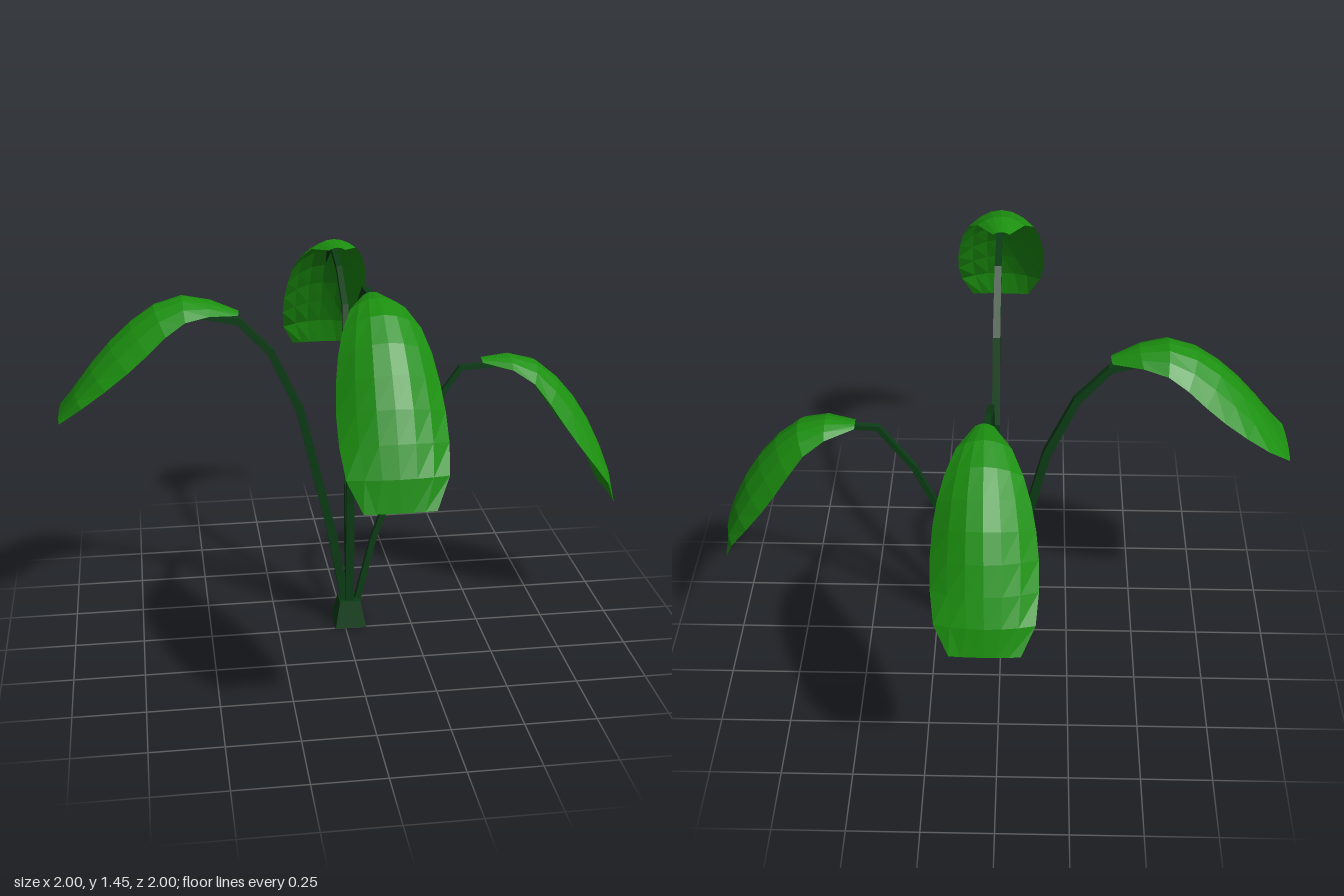
import * as THREE from 'three';

const V = (x, y, z) => new THREE.Vector3(x, y, z);
const leafMat = new THREE.MeshStandardMaterial({ color: 0x1c9010, flatShading: true, side: THREE.DoubleSide });
const stemMat = new THREE.MeshStandardMaterial({ color: 0x0c3d16, flatShading: true, side: THREE.DoubleSide });

// Stitches equal-length rows of points into a surface
function skin(rows) {
  const n = rows[0].length, index = [];
  for (let i = 0; i < rows.length - 1; i++) {
    for (let j = 0; j < n - 1; j++) {
      const a = i * n + j, b = a + n;
      index.push(a, a + 1, b, a + 1, b + 1, b);
    }
  }
  const geo = new THREE.BufferGeometry().setFromPoints(rows.flat());
  geo.setIndex(index);
  geo.computeVertexNormals();
  return geo;
}

// Half width and edge droop from the root of a leaf to its tip
const WIDTH = [0.03, 0.085, 0.12, 0.143, 0.157, 0.165, 0.165, 0.155, 0.11];
const DROOP = [0.01, 0.035, 0.06, 0.08, 0.09, 0.085, 0.065, 0.035, 0.005];

// Arched blade: spine points are [outward distance, height]; side0/side1 shift it sideways
function leaf({ axis, sign, spine, side0, side1 }) {
  const curve = new THREE.CatmullRomCurve3(spine.map(([r, y]) => V(r, y, 0)));
  const rows = WIDTH.map((w, i) => {
    const t = i / (WIDTH.length - 1);
    const p = curve.getPointAt(t), d = curve.getTangentAt(t);
    const row = [];
    for (let j = -3; j <= 3; j++) {
      const s = j / 3, drop = DROOP[i] * s * s;
      const r = sign * (p.x + d.y * drop), y = p.y - d.x * drop;
      const side = THREE.MathUtils.lerp(side0, side1, t) + w * s;
      row.push(axis === 'x' ? V(r, y, side) : V(side, y, r));
    }
    // keep every blade facing upward
    return (axis === 'x') === (sign > 0) ? row.reverse() : row;
  });
  return new THREE.Mesh(skin(rows), leafMat);
}

// Four-sided tapering stalk along a bent path, closed at its end
function stalk({ axis, sign, side1, path, thick }) {
  const across = axis === 'x' ? V(0, 0, 1) : V(1, 0, 0);
  const start = axis === 'x' ? -0.05 : 0.02;
  const pts = path.map(([r, y], i) => {
    const side = THREE.MathUtils.lerp(start, side1, Math.min(1, i / (path.length - 3)));
    return axis === 'x' ? V(sign * r, y, side) : V(side, y, sign * r);
  });
  const rows = pts.map((p, i) => {
    const d = pts[Math.min(i + 1, pts.length - 1)].clone().sub(pts[Math.max(i - 1, 0)]).normalize();
    const n = d.clone().cross(across).normalize();
    const rad = i === pts.length - 1 ? 0.001 : THREE.MathUtils.lerp(thick, 0.013, i / (pts.length - 1));
    return [0, 1, 2, 3, 4].map((k) => {
      const a = (k + 0.5) * Math.PI / 2;
      return p.clone().addScaledVector(across, Math.cos(a) * rad).addScaledVector(n, Math.sin(a) * rad);
    });
  });
  return new THREE.Mesh(skin(rows), stemMat);
}

const FRONDS = [
  { name: 'rightFrond', axis: 'x', sign: -1, side0: 0, side1: 0, thick: 0.024,
    path: [[-0.01, 0.07], [0.05, 0.4], [0.16, 0.87], [0.26, 1.09], [0.37, 1.21], [0.5, 1.24], [0.64, 1.26], [0.74, 1.205]],
    spine: [[0.37, 1.25], [0.45, 1.285], [0.54, 1.31], [0.65, 1.285], [0.77, 1.2], [0.88, 1.08], [0.96, 0.97], [1, 0.91]] },
  { name: 'leftFrond', axis: 'x', sign: 1, side0: -0.07, side1: -0.05, thick: 0.016,
    path: [[0.045, 0.07], [0.11, 0.34], [0.19, 0.56], [0.305, 0.82], [0.425, 0.99], [0.6, 1.0], [0.7, 0.985], [0.8, 0.89]],
    spine: [[0.5, 1.02], [0.59, 1.03], [0.68, 1.015], [0.77, 0.95], [0.87, 0.83], [0.95, 0.68], [0.99, 0.56], [0.995, 0.48]] },
  { name: 'frontFrond', axis: 'z', sign: 1, side0: 0.012, side1: 0.025, thick: 0.022,
    path: [[-0.04, 0.07], [-0.025, 0.5], [0.03, 0.95], [0.13, 1.24], [0.33, 1.4], [0.59, 1.42], [0.7, 1.41], [0.8, 1.33]],
    spine: [[0.51, 1.445], [0.61, 1.455], [0.7, 1.435], [0.8, 1.36], [0.9, 1.22], [0.96, 1.09], [0.99, 1.0], [1, 0.91]] },
  { name: 'backFrond', axis: 'z', sign: -1, side0: 0.04, side1: 0.028, thick: 0.017,
    path: [[0.075, 0.07], [0.11, 0.5], [0.17, 0.97], [0.22, 1.19], [0.4, 1.28], [0.59, 1.31], [0.7, 1.285], [0.8, 1.2]],
    spine: [[0.51, 1.33], [0.6, 1.34], [0.69, 1.315], [0.79, 1.25], [0.88, 1.13], [0.96, 0.96], [0.99, 0.88], [1, 0.81]] },
];

export function createModel() {
  const model = new THREE.Group();
  model.name = 'pottedLeafPlant';

  // Flared square foot
  const foot = new THREE.Mesh(new THREE.CylinderGeometry(0.054, 0.082, 0.1, 4).rotateY(Math.PI / 4), stemMat);
  foot.position.set(0.02, 0.05, -0.052);
  foot.name = 'foot';
  model.add(foot);

  // Four arching stalks, each carrying one broad leaf
  for (const f of FRONDS) {
    const frond = new THREE.Group();
    frond.name = f.name;
    const stem = stalk({ ...f, side1: (f.side0 + f.side1) / 2 });
    stem.name = 'stalk';
    const blade = leaf(f);
    blade.name = 'leaf';
    frond.add(stem, blade);
    model.add(frond);
  }
  return model;
}
